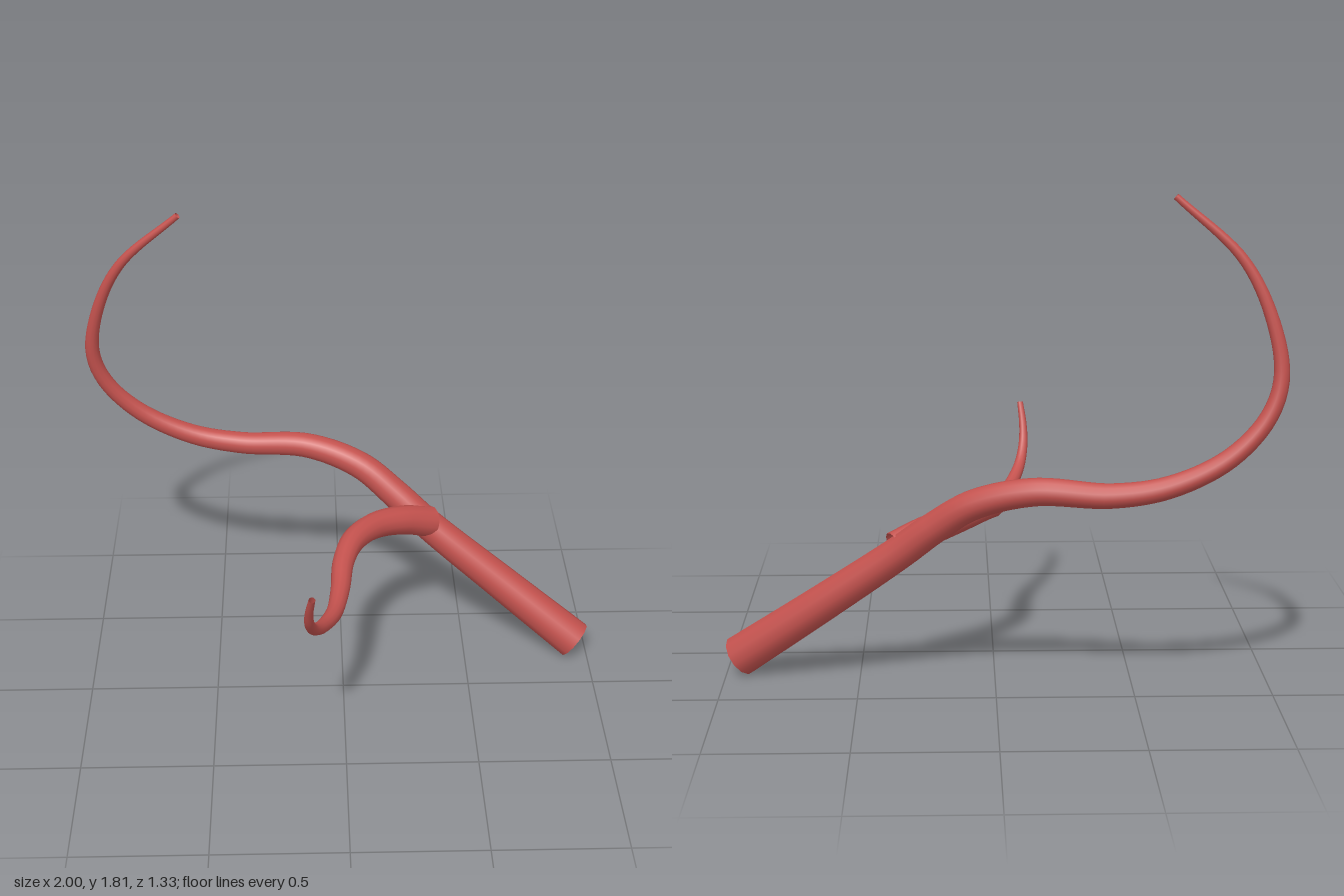
import * as THREE from 'three';

// Open tube along a smooth curve, tapering evenly from r0 to r1
function taperedTube(points, r0, r1, segments, sides) {
  const curve = new THREE.CatmullRomCurve3(points.map(p => new THREE.Vector3(...p)));
  curve.arcLengthDivisions = 600;
  const geo = new THREE.TubeGeometry(curve, segments, 1, sides, false);
  const pos = geo.attributes.position;
  const v = new THREE.Vector3();
  for (let i = 0; i <= segments; i++) {
    const t = i / segments;
    const centre = curve.getPointAt(t);
    const radius = THREE.MathUtils.lerp(r0, r1, t);
    for (let j = 0; j <= sides; j++) {
      const k = i * (sides + 1) + j;
      v.fromBufferAttribute(pos, k).sub(centre).multiplyScalar(radius).add(centre);
      pos.setXYZ(k, v.x, v.y, v.z);
    }
  }
  return geo;
}

export function createModel() {
  const group = new THREE.Group();
  group.name = 'branchingVessel';
  const red = new THREE.MeshStandardMaterial({ color: 0xc4524e, side: THREE.DoubleSide });
  red.name = 'red';

  const add = (name, geo) => {
    const mesh = new THREE.Mesh(geo, red);
    mesh.name = name;
    group.add(mesh);
  };

  // Long main vessel, rising from the wide open end and curling upward
  add('mainVessel', taperedTube([
    [0.95, 0.07, -0.205], [0.64, 0.3, -0.305], [0.35, 0.52, -0.395],
    [0.22, 0.63, -0.45], [0.08, 0.73, -0.51], [-0.13, 0.79, -0.57],
    [-0.4, 0.785, -0.61], [-0.6, 0.82, -0.625], [-0.8, 0.92, -0.63],
    [-0.93, 1.06, -0.62], [-0.975, 1.2, -0.605], [-0.94, 1.4, -0.58],
    [-0.84, 1.6, -0.55], [-0.61, 1.81, -0.515],
  ], 0.079, 0.012, 96, 12));

  // Side branch, sweeping forward and turning up at its tip
  add('sideBranch', taperedTube([
    [0.36, 0.535, -0.385], [0.25, 0.58, -0.325], [0.13, 0.607, -0.24],
    [0.04, 0.61, -0.12], [0, 0.587, 0], [-0.015, 0.557, 0.14],
    [-0.04, 0.548, 0.28], [-0.085, 0.575, 0.41], [-0.12, 0.63, 0.51],
    [-0.135, 0.7, 0.575], [-0.135, 0.77, 0.615], [-0.125, 0.85, 0.655],
  ], 0.063, 0.012, 64, 12));

  return group;
}
